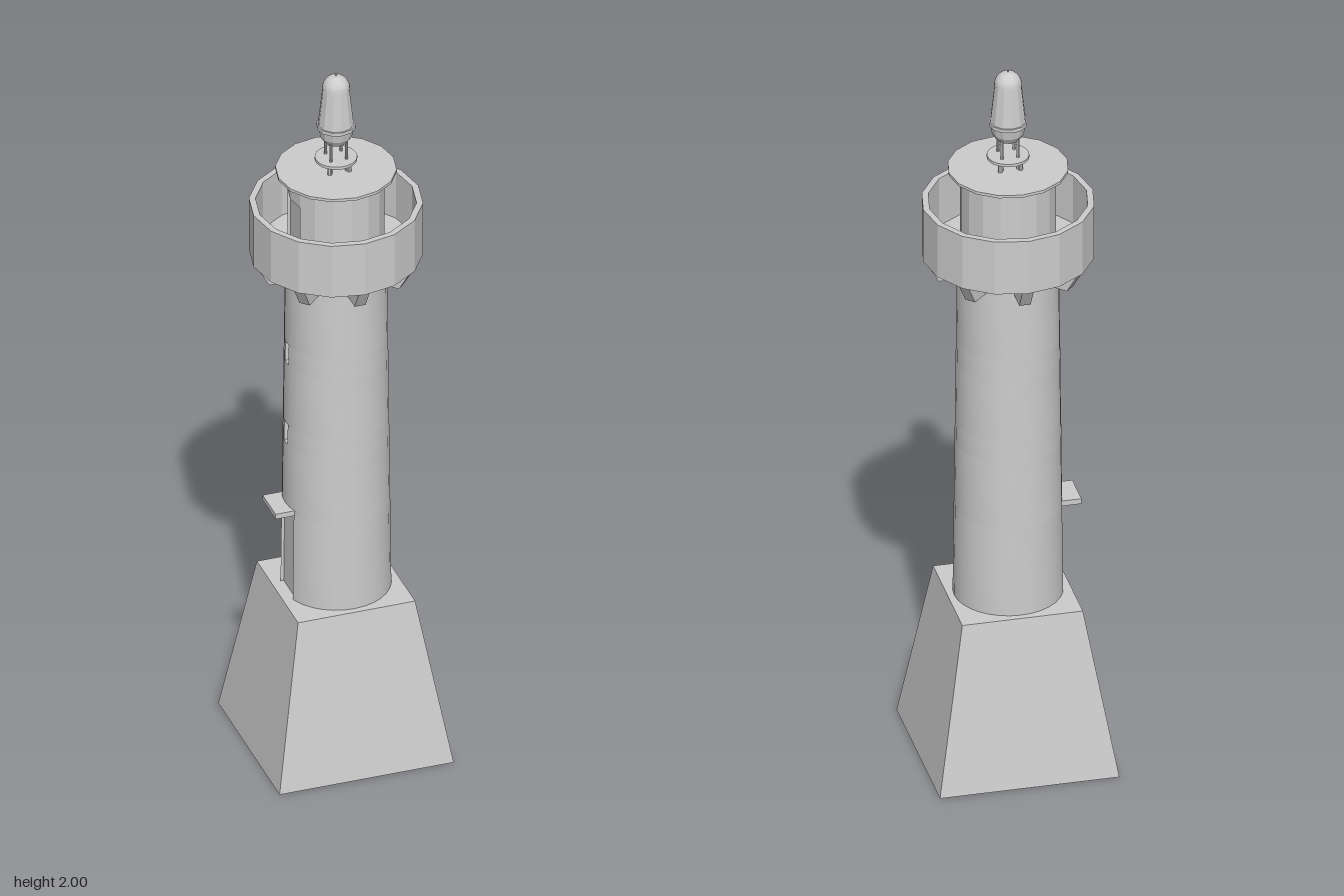
import * as THREE from 'three';
import { toCreasedNormals } from 'three/addons/utils/BufferGeometryUtils.js';

const stone = new THREE.MeshStandardMaterial({ color: 0xcccccc });
stone.name = 'pale grey';

function add(parent, name, geometry, x = 0, y = 0, z = 0) {
  const mesh = new THREE.Mesh(toCreasedNormals(geometry, 0.35), stone);
  mesh.name = name;
  mesh.position.set(x, y, z);
  parent.add(mesh);
  return mesh;
}

const lathe = (points, sides) =>
  new THREE.LatheGeometry(points.map(([r, y]) => new THREE.Vector2(r, y)), sides);

// Upright round band from y0 to y1, with an optional recess in its -x side
function band(radius, sides, y0, y1, halfWidth = 0, recessX = 0) {
  const cut = Math.asin(halfWidth / radius);
  const points = [];
  const at = (a) => points.push(new THREE.Vector2(radius * Math.cos(a), radius * Math.sin(a)));
  if (cut) at(-Math.PI + cut);
  for (let i = 0; i < sides; i++) {
    const a = -Math.PI + (2 * Math.PI * i) / sides;
    if (!cut || Math.abs(a) < Math.PI - cut - 0.01) at(a);
  }
  if (cut) {
    at(Math.PI - cut);
    points.push(new THREE.Vector2(-recessX, halfWidth), new THREE.Vector2(-recessX, -halfWidth));
  }
  const g = new THREE.ExtrudeGeometry(new THREE.Shape(points), { depth: y1 - y0, bevelEnabled: false });
  return g.rotateX(-Math.PI / 2).translate(0, y0, 0);
}

// Narrow a column band towards the top
function taper(g) {
  const p = g.attributes.position;
  for (let i = 0; i < p.count; i++) {
    const s = 1 - 0.08 * (p.getY(i) - 0.46);
    p.setX(i, p.getX(i) * s);
    p.setZ(i, p.getZ(i) * s);
  }
  return g;
}

export function createModel() {
  const model = new THREE.Group();
  model.name = 'lighthouse';

  // Square sloping plinth
  const plinth = new THREE.CylinderGeometry(0.16 * Math.SQRT2, 0.238 * Math.SQRT2, 0.46, 4);
  add(model, 'plinth', plinth.rotateY(Math.PI / 4), 0, 0.23);

  // Column in bands: doorway and two window recesses face -x
  const column = new THREE.Group();
  column.name = 'column';
  model.add(column);
  [
    ['doorBand', 0.46, 0.715, 0.048, 0.126],
    ['wallBand', 0.715, 0.91],
    ['windowBand', 0.91, 0.97, 0.014, 0.125],
    ['wallBand', 0.97, 1.15],
    ['windowBand', 1.15, 1.21, 0.014, 0.125],
    ['wallBand', 1.21, 1.465],
  ].forEach(([name, y0, y1, w, d]) => add(column, name, taper(band(0.143, 32, y0, y1, w, d))));

  // Slab over the door
  add(model, 'doorHood', new THREE.BoxGeometry(0.063, 0.015, 0.1), -0.1515, 0.722, 0);

  // Eight brackets under the gallery
  const side = new THREE.Shape([[0.11, 1.405], [0.187, 1.405], [0.22, 1.462], [0.11, 1.462]]
    .map(([x, y]) => new THREE.Vector2(x, y)));
  for (let i = 0; i < 8; i++) {
    const g = new THREE.ExtrudeGeometry(side, { depth: 0.03, bevelEnabled: false });
    add(model, 'bracket', g.translate(0, 0, -0.015)).rotation.y = (i * Math.PI) / 4;
  }

  // Gallery with solid parapet
  add(model, 'gallery', lathe([[0, 1.46], [0.225, 1.46], [0.225, 1.615], [0.208, 1.615],
    [0.208, 1.475], [0, 1.475]], 16));

  // Watch room with a doorway, and its flat roof
  add(model, 'watchRoomLower', band(0.125, 16, 1.47, 1.645, 0.0478, 0.108));
  add(model, 'watchRoomUpper', band(0.125, 16, 1.645, 1.71));
  add(model, 'roof', new THREE.CylinderGeometry(0.157, 0.157, 0.008, 16), 0, 1.711);

  // Lamp stand: feet, round plate and slender legs
  for (let i = 0; i < 4; i++) {
    const a = Math.PI / 4 + (i * Math.PI) / 2;
    const x = Math.cos(a), z = Math.sin(a);
    add(model, 'standFoot', new THREE.CylinderGeometry(0.006, 0.006, 0.03, 8), 0.038 * x, 1.729, 0.038 * z);
    add(model, 'standLeg', new THREE.CylinderGeometry(0.004, 0.004, 0.1, 8), 0.03 * x, 1.765, 0.03 * z);
  }
  add(model, 'standPlate', new THREE.CylinderGeometry(0.055, 0.055, 0.008, 24), 0, 1.746);

  // Beacon: bowl, rim, faceted glass and dome
  add(model, 'beaconBowl', lathe([[0, 1.795], [0.03, 1.797], [0.042, 1.815], [0.047, 1.84], [0, 1.84]], 12));
  add(model, 'beaconRim', new THREE.CylinderGeometry(0.051, 0.051, 0.01, 12), 0, 1.845);
  add(model, 'beaconGlass', new THREE.CylinderGeometry(0.035, 0.047, 0.11, 12), 0, 1.905);
  const dome = new THREE.SphereGeometry(0.036, 24, 8, 0, 2 * Math.PI, 0, Math.PI / 2);
  add(model, 'beaconDome', dome.scale(1, 1.05, 1), 0, 1.957);
  add(model, 'beaconTip', new THREE.CylinderGeometry(0.002, 0.002, 0.008, 6), 0, 1.996);

  return model;
}
